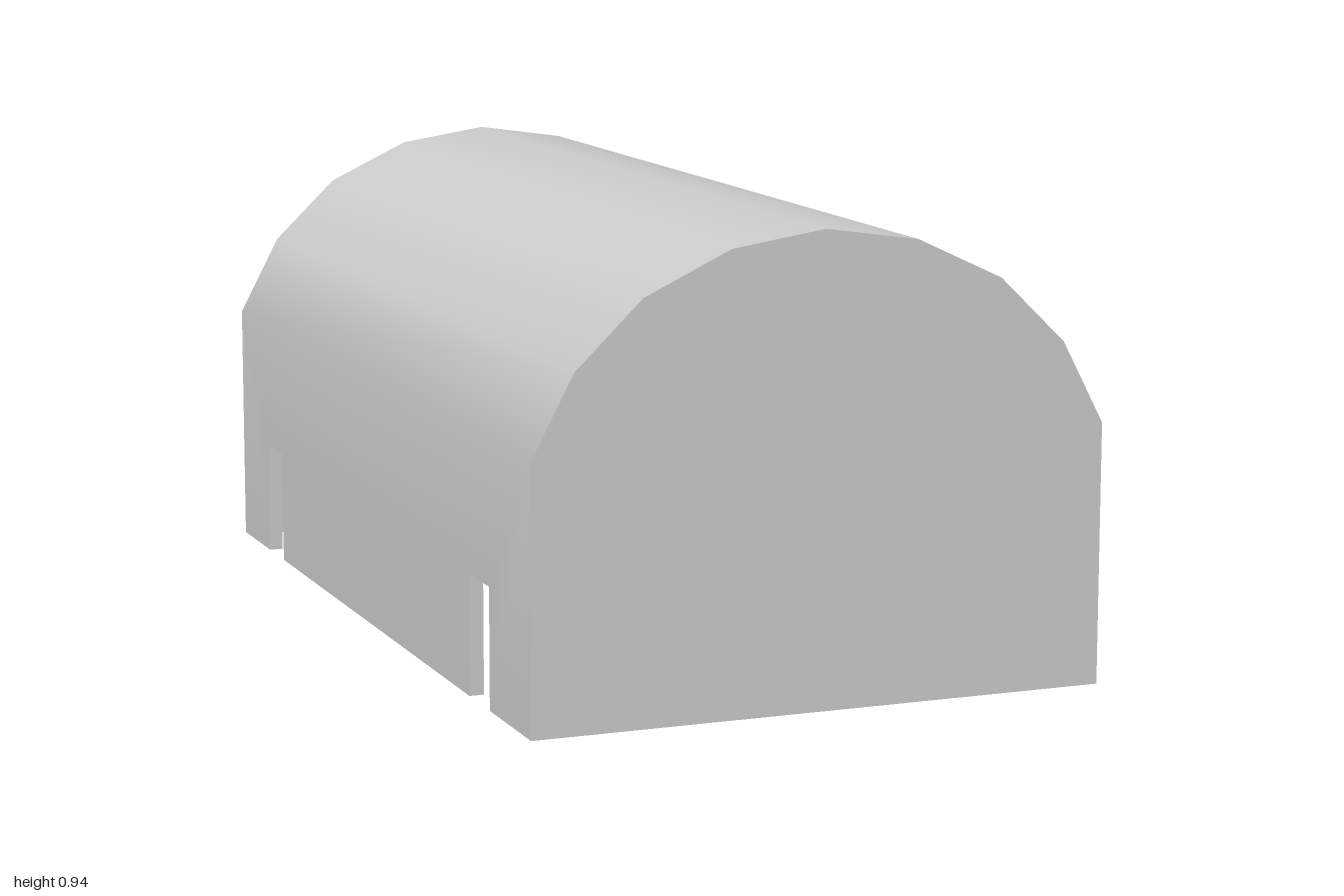
import * as THREE from 'three';
import { mergeGeometries, toCreasedNormals } from 'three/addons/utils/BufferGeometryUtils.js';

const HALF_W = 0.595, SPRING = 0.527, THICK = 0.03, SLOT_TOP = 0.245;
const SLOTS = [[-0.79, -0.675], [0.642, 0.764]]; // z ranges of the side notches

// Right half of the faceted arch, from the spring line up to the crown
const HALF_ARCH = [[HALF_W, SPRING], [0.507, 0.693], [0.37, 0.825], [0.193, 0.908], [0, 0.937]];
const OUTER = [...HALF_ARCH, ...HALF_ARCH.slice(0, -1).reverse().map(([x, y]) => [-x, y])];
const INNER = OUTER.map(([x, y]) => [x * (1 - THICK / HALF_W), SPRING + (y - SPRING) * 0.925]);

function extrude(points, depth) {
  const shape = new THREE.Shape(points.map(([x, y]) => new THREE.Vector2(x, y)));
  return new THREE.ExtrudeGeometry(shape, { depth, bevelEnabled: false });
}

// Side wall with notches, drawn in the z-y plane and turned upright along x
function wall(x) {
  const points = [[-1, 0]];
  for (const [a, b] of SLOTS) points.push([a, 0], [a, SLOT_TOP], [b, SLOT_TOP], [b, 0]);
  points.push([1, 0], [1, SPRING], [-1, SPRING]);
  return extrude(points.map(([z, y]) => [-z, y]), THICK).rotateY(Math.PI / 2).translate(x, 0, 0);
}

export function createModel() {
  const group = new THREE.Group();
  const material = new THREE.MeshStandardMaterial({ color: 0xcccccc });
  const add = (name, geometry) => {
    const mesh = new THREE.Mesh(geometry, material);
    mesh.name = name;
    group.add(mesh);
  };

  // Barrel roof blending smoothly into both side walls
  const roof = extrude([...OUTER, ...[...INNER].reverse()], 2).translate(0, 0, -1);
  const shell = mergeGeometries([roof, wall(HALF_W - THICK), wall(-HALF_W)]);
  add('roofAndSideWalls', toCreasedNormals(shell, 0.7));

  // End walls filling the inside of the arch
  const inX = HALF_W - THICK;
  const endProfile = [[inX, 0], ...INNER, [-inX, 0]];
  add('frontEndWall', extrude(endProfile, THICK).translate(0, 0, 1 - THICK));
  add('backEndWall', extrude(endProfile, THICK).translate(0, 0, -1));
  return group;
}
